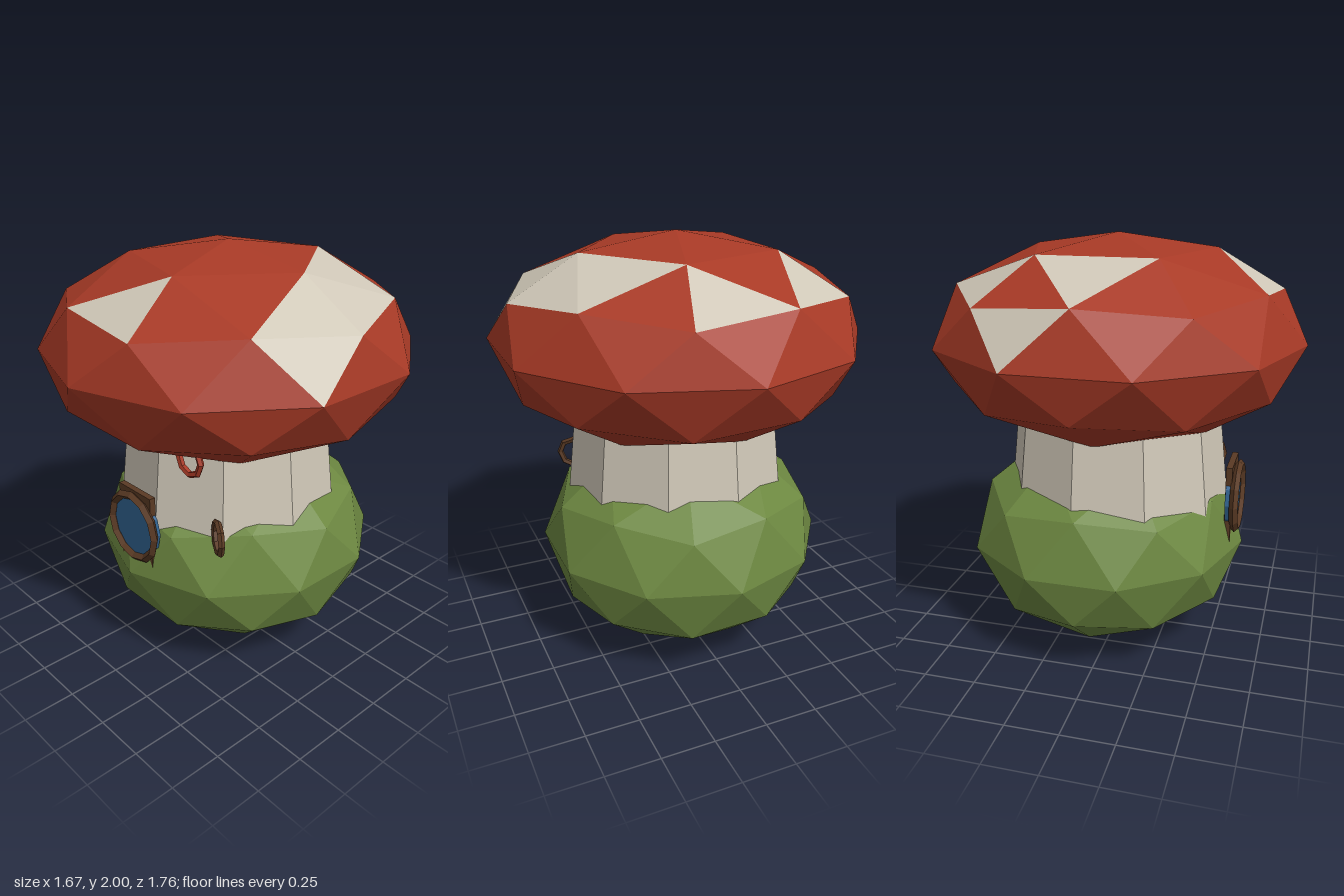
import * as THREE from 'three';

const mat = (name, color, extra = {}) => {
  const m = new THREE.MeshStandardMaterial({ color, flatShading: true, ...extra });
  m.name = name;
  return m;
};

export function createModel() {
  const red = mat('cap red', 0xa83a26);
  const cream = mat('cream', 0xd0c8b8);
  const green = mat('moss green', 0x6d8841);
  const brown = mat('dark wood', 0x5a3a24);
  const blue = mat('window blue', 0x30628f);
  const group = new THREE.Group();

  const add = (name, geometry, material, x = 0, y = 0, z = 0) => {
    const mesh = new THREE.Mesh(geometry, material);
    mesh.name = name;
    mesh.position.set(x, y, z);
    group.add(mesh);
    return mesh;
  };

  // Faceted unit ball with a corner at the pole and the next ring starting at +x
  const facetedBall = () =>
    new THREE.IcosahedronGeometry(1, 1).rotateZ(-Math.atan(2 / (1 + Math.sqrt(5))));

  // Cap: spotted facets are chosen by the [angle from +x towards +z, height] of their centres
  const spots = [
    [85.3, 0.608], [324, 0.743], [346.7, 0.608], [13.3, 0.608], [17.7, 0.324],
    [274.7, 0.608], [229.3, 0.608], [180, 0.743], [198.3, 0.324],
  ];
  const cap = facetedBall();
  const p = cap.attributes.position;
  for (let i = 0; i < p.count; i += 3) {
    const c = new THREE.Vector3();
    for (let j = 0; j < 3; j++) c.add(new THREE.Vector3().fromBufferAttribute(p, i + j));
    c.divideScalar(3);
    const angle = THREE.MathUtils.radToDeg(Math.atan2(c.z, c.x));
    const spotted = spots.some(([a, h]) => {
      const turn = Math.abs(((angle - a + 540) % 360 + 360) % 360 - 180);
      return turn < 5 && Math.abs(c.y - h) < 0.05;
    });
    cap.addGroup(i, 3, spotted ? 1 : 0);
  }
  cap.scale(0.88, 0.48, 0.88);
  cap.computeVertexNormals();
  add('spottedCap', cap, [red, cream], 0, 1.52, 0);

  // Ten-sided tapering stem
  const stem = new THREE.CylinderGeometry(0.47, 0.557, 0.8, 10, 1, false, Math.PI / 20);
  add('stem', stem, cream, 0, 1.0, 0);

  // Mossy bush around the foot
  const bush = facetedBall().scale(0.685, 0.517, 0.685);
  bush.computeVertexNormals();
  add('mossBase', bush, green, 0, 0.52, -0.055);

  // Round window: backing board, pane and frame
  add('windowBoard', new THREE.BoxGeometry(0.23, 0.38, 0.03), brown, 0, 0.75, 0.567);
  add('windowPane', new THREE.CylinderGeometry(0.15, 0.15, 0.04, 12).rotateX(Math.PI / 2),
    blue, 0, 0.76, 0.575);
  add('windowFrame', new THREE.TorusGeometry(0.16, 0.021, 4, 12), brown, 0, 0.76, 0.598);

  // Small hanging rings
  const ring = () => new THREE.TorusGeometry(0.073, 0.016, 5, 8);
  add('stemRing', ring(), brown, 0.402, 0.808, 0.43).rotation.y = -Math.PI / 6;
  add('capRing', ring(), red, 0.272, 1.162, 0.475);

  return group;
}
